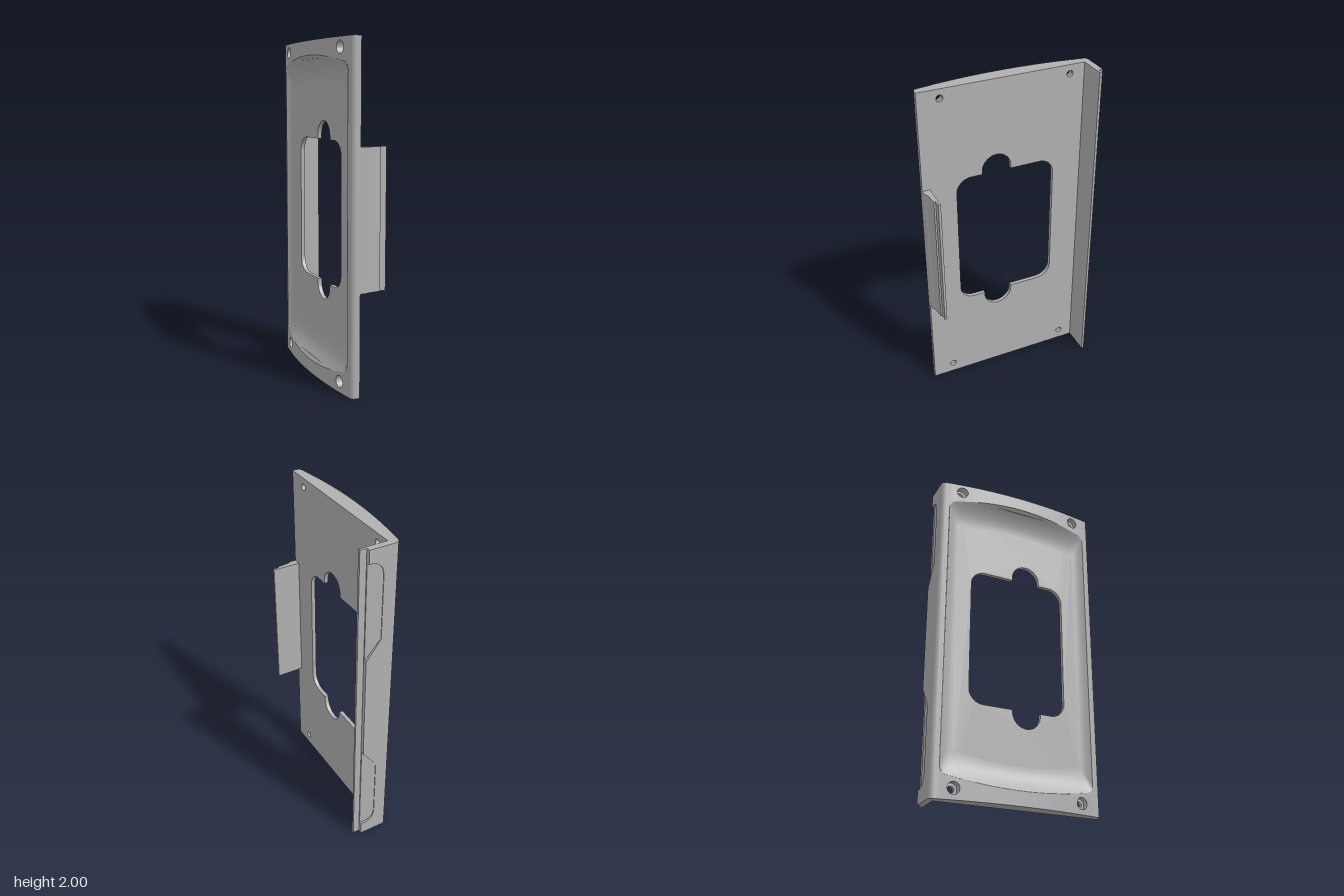
import * as THREE from 'three';
import { toCreasedNormals } from 'three/addons/utils/BufferGeometryUtils.js';

const FLOOR = -0.065, FACE = -0.04, RIM = 0.47, CORNER = 0.05;

// Bowed outer surface, and the end border of the recess, as functions of z
const bow = z => -0.135 + 0.042 * (z / 0.49) ** 2;
const border = z => {
  const flat = RIM - CORNER, a = Math.min(Math.abs(z), flat), over = Math.min(Math.abs(z) - a, CORNER);
  return 0.085 + 0.045 * (a / flat) ** 2 + CORNER - Math.sqrt(CORNER ** 2 - over ** 2);
};
const steps = (a, b, n) => Array.from({ length: n + 1 }, (_, i) => a + (b - a) * i / n);

// Extrude an [x, z] outline upward
function alongY(points, y0, y1) {
  const shape = new THREE.Shape(points.map(([x, z]) => new THREE.Vector2(x, -z)));
  return new THREE.ExtrudeGeometry(shape, { depth: y1 - y0, bevelEnabled: false })
    .rotateX(-Math.PI / 2).translate(0, y0, 0);
}

// Extrude a (-z, y) shape along x
function alongX(shape, x, depth) {
  return new THREE.ExtrudeGeometry(shape, { depth, bevelEnabled: false, curveSegments: 16 })
    .rotateY(Math.PI / 2).translate(x, 0, 0);
}

function moveVertices(geo, rule) {
  const p = geo.attributes.position, v = new THREE.Vector3();
  for (let i = 0; i < p.count; i++) {
    v.fromBufferAttribute(p, i);
    rule(v);
    p.setXYZ(i, v.x, v.y, v.z);
  }
  geo.computeVertexNormals();
  return geo;
}

function circle(u, y, r) {
  return new THREE.Path().absarc(u, y, r, 0, Math.PI * 2, true);
}

// Rounded opening with a round notch above and below
function windowPath() {
  const P = Math.PI, r = 0.09, l = -0.315, e = 0.3, b = 0.575, t = 1.43, c = -0.065;
  const w = new THREE.Path();
  w.moveTo(l + r, b);
  w.lineTo(c - r, b);
  w.absarc(c, 0.56, r, P, 2 * P, false);
  w.lineTo(c + r, b);
  w.absarc(e - r, b + r, r, -P / 2, 0, false);
  w.absarc(e - r, t - r, r, 0, P / 2, false);
  w.lineTo(c + r, t);
  w.absarc(c, 1.45, r, 0, P, false);
  w.lineTo(c - r, t);
  w.absarc(l + r, t - r, r, P / 2, P, false);
  w.absarc(l + r, b + r, r, P, 1.5 * P, false);
  return w;
}

// Concave fillet running round the recess down to its floor
function recessWall() {
  const zs = steps(-1, 1, 40).map(t => RIM * Math.sin(t * Math.PI / 2));
  const loop = [...zs.map(z => [z, border(z)]), ...zs.map(z => [-z, 2 - border(z)])];
  const n = loop.length, rows = 8, pos = [], index = [];
  for (let j = 0; j <= rows; j++) {
    const t = j / rows;
    for (const [z, y] of loop) {
      pos.push(FLOOR - 0.001 + (bow(z) - FLOOR) * (1 - t) ** 2,
        1 + (y - 1) * (1 - 0.17 * t), z * (1 - 0.15 * t));
    }
  }
  for (let j = 0; j < rows; j++) {
    for (let i = 0; i < n; i++) {
      const a = j * n + i, b = j * n + (i + 1) % n;
      index.push(a, b, a + n, b, b + n, a + n);
    }
  }
  const geo = new THREE.BufferGeometry();
  geo.setAttribute('position', new THREE.Float32BufferAttribute(pos, 3));
  geo.setIndex(index);
  geo.computeVertexNormals();
  return geo;
}

export function createModel() {
  const model = new THREE.Group();
  const grey = new THREE.MeshStandardMaterial({ color: 0xb0b0b0, side: THREE.DoubleSide });
  grey.name = 'grey metal';
  const add = (name, geo, creased = true) => {
    const mesh = new THREE.Mesh(creased ? toCreasedNormals(geo, 0.5) : geo, grey);
    mesh.name = name;
    model.add(mesh);
  };

  // Thin base plate with opening and screw holes
  const plate = new THREE.Shape([[-RIM, 0], [RIM, 0], [RIM, 2], [-RIM, 2]].map(p => new THREE.Vector2(...p)));
  plate.holes.push(windowPath());
  for (const u of [-0.39, 0.39]) for (const y of [0.065, 1.945]) plate.holes.push(circle(u, y, 0.02));
  add('basePlate', alongX(plate, FLOOR, FACE - FLOOR));
  add('recessWall', recessWall(), false);

  // Rounded long rims
  for (const s of [-1, 1]) {
    const arc = steps(0, Math.PI / 2, 8).map(a =>
      [FLOOR + (bow(0.49) - FLOOR) * Math.sin(a), s * (0.49 + 0.03 * Math.cos(a))]);
    add('sideRim', alongY([[FACE, s * RIM], [FACE, s * 0.52], ...arc, [bow(RIM), s * RIM]], 0, 2));
  }

  // Raised ends, with counterbored screw blocks beside the middle
  const inner = 0.34;
  for (const top of [false, true]) {
    const flip = y => top ? 2 - y : y;
    const profile = [[FLOOR, inner], [FLOOR, -inner], ...steps(-inner, inner, 24).map(z => [bow(z), z])];
    add('raisedEnd', moveVertices(alongY(profile, top ? 1.9 : 0, top ? 2 : 0.1), v => {
      if (v.y > 0.05 && v.y < 1.95) v.y = flip(border(v.z));
    }));
    for (const s of [-1, 1]) {
      const edge = steps(0, 1, 12).map(t => inner + (RIM - inner) * Math.sin(t * Math.PI / 2));
      const shape = new THREE.Shape([
        new THREE.Vector2(-s * RIM, flip(0)), new THREE.Vector2(-s * inner, flip(0)),
        ...edge.map(z => new THREE.Vector2(-s * z, flip(border(z)))),
      ]);
      shape.holes.push(circle(-s * 0.39, top ? 1.945 : 0.065, 0.035));
      add('screwBlock', moveVertices(alongX(shape, 0, 1), v => {
        v.x = v.x < 0.5 ? bow(v.z) : FLOOR;
      }));
    }
  }

  // Long flange: inner sheet with thin lip
  add('longFlange', alongY([[FACE, -0.48], [0.13, -0.48], [0.13, -0.495], [0.09, -0.495],
    [0.09, -0.5], [FACE, -0.5]], 0, 2));

  // Outer skin of the long flange, notched by two ramped finger pockets
  const skin = new THREE.Shape();
  skin.moveTo(FACE, 0);
  skin.lineTo(0.09, 0);
  skin.lineTo(0.09, 0.08);
  skin.quadraticCurveTo(0, 0.08, 0, 0.17);
  skin.lineTo(0, 0.55);
  skin.lineTo(0.09, 0.67);
  skin.lineTo(0.09, 1.33);
  skin.lineTo(0, 1.45);
  skin.lineTo(0, 1.83);
  skin.quadraticCurveTo(0, 1.92, 0.09, 1.92);
  skin.lineTo(0.09, 2);
  skin.lineTo(FACE, 2);
  add('flangeSkin', new THREE.ExtrudeGeometry(skin, { depth: 0.02, bevelEnabled: false }).translate(0, 0, -0.52));
  for (const y of [0.08, 1.33]) {
    add('pocketRamp', alongY([[0, -0.5], [0, -0.516], [0.09, -0.502], [0.09, -0.5]], y, y + 0.59));
  }

  // Short flange with a tapered outside and thin lip
  add('shortFlange', alongY([[FACE, 0.475], [0.13, 0.475], [0.13, 0.49], [0.09, 0.49], [0.09, 0.5],
    [0.03, 0.506], [0.012, 0.51], [0, 0.518], [FACE, 0.52]], 0.6, 1.41));

  return model;
}
